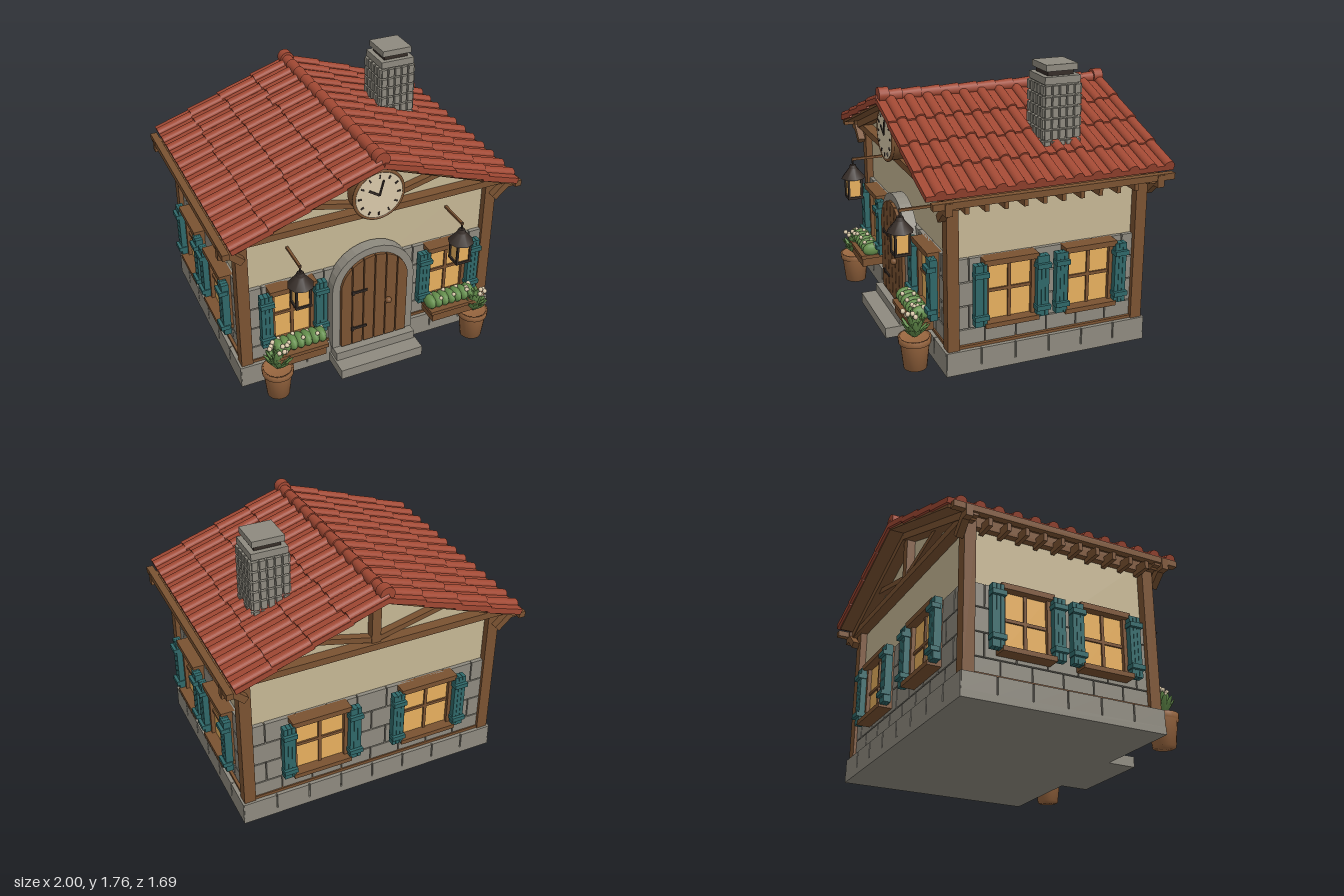
import * as THREE from 'three';
import { mergeGeometries } from 'three/addons/utils/BufferGeometryUtils.js';

const palette = {
  stone: 0x8e8a7f, plaster: 0xc6b794, wood: 0x7a5231, roofTile: 0xa04833, teal: 0x2f6869,
  glass: 0xe8b05e, darkMetal: 0x352c27, leaf: 0x648e4c, petal: 0xd8c8aa, terracotta: 0x98663f,
};
const M = {};
for (const [name, color] of Object.entries(palette)) {
  M[name] = new THREE.MeshStandardMaterial({ color });
  M[name].name = name;
}

function add(parent, name, geo, mat, x = 0, y = 0, z = 0) {
  const m = new THREE.Mesh(geo, mat);
  m.name = name;
  m.position.set(x, y, z);
  parent.add(m);
  return m;
}
// box given by its min and max corner
function box(parent, name, mat, x0, x1, y0, y1, z0, z1) {
  return add(parent, name, new THREE.BoxGeometry(x1 - x0, y1 - y0, z1 - z0), mat,
    (x0 + x1) / 2, (y0 + y1) / 2, (z0 + z1) / 2);
}
// beam between two points in the xy plane
function beam(parent, name, mat, x0, y0, x1, y1, thick, z0, z1) {
  const g = new THREE.BoxGeometry(Math.hypot(x1 - x0, y1 - y0), thick, z1 - z0);
  const m = add(parent, name, g, mat, (x0 + x1) / 2, (y0 + y1) / 2, (z0 + z1) / 2);
  m.rotation.z = Math.atan2(y1 - y0, x1 - x0);
  return m;
}
function group(parent, name, x = 0, y = 0, z = 0, ry = 0) {
  const g = new THREE.Group();
  g.name = name;
  g.position.set(x, y, z);
  g.rotation.y = ry;
  parent.add(g);
  return g;
}
function extrude(points, depth) {
  const s = new THREE.Shape(points.map(p => new THREE.Vector2(p[0], p[1])));
  return new THREE.ExtrudeGeometry(s, { depth, bevelEnabled: false });
}
let seed = 7;
const rand = () => (seed = (seed * 16807) % 2147483647) / 2147483647;

const CZ = -0.06, SLOPE = 0.372, ANGLE = Math.atan(SLOPE);

// courses of blocks on a wall that faces local +z; shift offsets every second course
function blocks(parent, name, half, courses, count, z0, z1, shift, gap) {
  const parts = [], step = 2 * half / count;
  courses.forEach(([y0, y1], r) => {
    for (let i = 0; i <= count; i++) {
      const start = -half + (i - (r % 2) * shift) * step;
      const a = Math.max(-half, start), b = Math.min(half, start + step);
      if (b - a < 0.02) continue;
      const g = new THREE.BoxGeometry(b - a - 2 * gap, y1 - y0 - 2 * gap, z1 - z0);
      parts.push(g.translate((a + b) / 2, (y0 + y1) / 2, (z0 + z1) / 2));
    }
  });
  add(parent, name, mergeGeometries(parts), M.stone);
}

// hw is half the width of the pane
function shutteredWindow(wall, x, hw) {
  const w = group(wall, 'window', x, 0, 0);
  box(w, 'windowPane', M.glass, -hw, hw, 0.32, 0.69, 0.02, 0.045);
  for (const s of [-1, 1]) {
    const jx = s * (hw + 0.012);
    box(w, 'windowJamb', M.wood, jx - 0.016, jx + 0.016, 0.31, 0.7, 0.01, 0.07);
    const sh = group(w, 'shutter', s * (hw + 0.058), 0, 0);
    for (const k of [-1, 0, 1])
      box(sh, 'shutterSlat', M.teal, k * 0.026 - 0.012, k * 0.026 + 0.012, 0.31, 0.7, 0.06, 0.108);
    for (const y of [0.37, 0.64]) box(sh, 'shutterBar', M.teal, -0.045, 0.045, y - 0.015, y + 0.015, 0.07, 0.128);
  }
  box(w, 'windowLintel', M.wood, -hw - 0.032, hw + 0.032, 0.685, 0.72, 0.01, 0.1);
  box(w, 'windowSill', M.wood, -hw - 0.032, hw + 0.032, 0.295, 0.325, 0.01, 0.115);
  box(w, 'verticalGlazingBar', M.wood, -0.01, 0.01, 0.32, 0.69, 0.04, 0.056);
  box(w, 'horizontalGlazingBar', M.wood, -hw, hw, 0.5, 0.52, 0.04, 0.056);
}

function flowerBox(parent, x) {
  const f = group(parent, 'flowerBox', x, 0, 0);
  box(f, 'planter', M.wood, -0.155, 0.155, 0.22, 0.29, 0.61, 0.76);
  box(f, 'planterRim', M.wood, -0.17, 0.17, 0.28, 0.305, 0.6, 0.77);
  for (let i = 0; i < 7; i++) {
    const px = -0.144 + i * 0.048;
    const b = add(f, 'bush', new THREE.SphereGeometry(0.036, 12, 8), M.leaf, px, 0.338, 0.69);
    b.scale.set(0.95, 1.3, 1.8);
    add(f, 'blossom', new THREE.SphereGeometry(0.014, 7, 6), M.petal, px + 0.012, 0.37 + rand() * 0.014, 0.69 + (i % 2 ? 0.04 : -0.02));
  }
}

function lantern(parent, x) {
  const l = group(parent, 'lantern', x, 0, 0.76);
  box(l, 'lanternGlass', M.glass, -0.042, 0.042, 0.69, 0.83, -0.042, 0.042);
  box(l, 'lanternBase', M.darkMetal, -0.052, 0.052, 0.68, 0.697, -0.052, 0.052);
  for (const a of [-1, 1]) for (const b of [-1, 1])
    box(l, 'lanternPost', M.darkMetal, a * 0.044 - 0.007, a * 0.044 + 0.007, 0.69, 0.83, b * 0.044 - 0.007, b * 0.044 + 0.007);
  add(l, 'lanternRoof', new THREE.CylinderGeometry(0.028, 0.084, 0.07, 8), M.darkMetal, 0, 0.86, 0);
  add(l, 'lanternCap', new THREE.CylinderGeometry(0.02, 0.03, 0.025, 8), M.darkMetal, 0, 0.905, 0);
  add(l, 'lanternLink', new THREE.CylinderGeometry(0.006, 0.006, 0.06, 6), M.darkMetal, 0, 0.935, 0);
  box(l, 'lanternArm', M.wood, -0.008, 0.008, 0.948, 0.964, -0.21, 0.005);
}

function pottedPlant(parent, x) {
  const p = group(parent, 'pottedPlant', x, 0, 0.735);
  const profile = [[0, 0], [0.072, 0], [0.09, 0.165], [0.1, 0.168], [0.102, 0.205], [0.088, 0.205], [0.085, 0.185], [0, 0.185]];
  add(p, 'pot', new THREE.LatheGeometry(profile.map(q => new THREE.Vector2(...q)), 20), M.terracotta);
  for (let i = 0; i < 34; i++) {
    const tilt = 0.12 + (i % 5) * 0.17, len = 0.17 - (i % 5) * 0.012 + rand() * 0.02;
    // leaf blade, widest below the middle
    const leaf = new THREE.SphereGeometry(0.5, 5, 5).scale(0.042, len, 0.014).translate(0, len / 2, 0);
    const m = add(p, 'leaf', leaf, M.leaf, 0, 0.195, 0);
    m.rotation.set(tilt, i * 2.4, 0, 'YXZ');
    if (i % 4 === 0) {
      const d = 0.035 + rand() * 0.04;
      add(p, 'blossom', new THREE.SphereGeometry(0.016, 7, 6), M.petal, Math.sin(i * 2.4) * d, 0.35 + rand() * 0.03, Math.cos(i * 2.4) * d);
    }
  }
}

function arch(r, y0, spring, segs = 14) {
  const pts = [[-r, y0], [r, y0]];
  for (let i = 0; i <= segs; i++) pts.push([r * Math.cos(Math.PI * i / segs), spring + r * Math.sin(Math.PI * i / segs)]);
  return pts;
}
function door(parent) {
  const d = group(parent, 'door', 0, 0, 0.56), spring = 0.575;
  const surround = new THREE.Shape(arch(0.285, 0.13, spring).map(p => new THREE.Vector2(...p)));
  surround.holes.push(new THREE.Path(arch(0.234, 0.14, spring).map(p => new THREE.Vector2(...p))));
  add(d, 'doorSurround', new THREE.ExtrudeGeometry(surround, { depth: 0.08, bevelEnabled: false }), M.stone);
  add(d, 'doorBacking', extrude(arch(0.236, 0.135, spring), 0.075), M.darkMetal);
  for (let i = 0; i < 6; i++) {
    const a = -0.234 + i * 0.078 + 0.004, b = a + 0.07, pts = [[a, 0.14], [b, 0.14]];
    for (let k = 0; k <= 5; k++) {
      const x = b + (a - b) * k / 5;
      pts.push([x, spring + Math.sqrt(0.2345 ** 2 - x * x)]);
    }
    add(d, 'doorPlank', extrude(pts, 0.1), M.wood);
  }
  for (const y of [0.27, 0.56]) {
    box(d, 'doorHinge', M.darkMetal, -0.16, -0.055, y - 0.008, y + 0.008, 0.1, 0.109);
    box(d, 'hingePlate', M.darkMetal, -0.163, -0.148, y - 0.016, y + 0.016, 0.1, 0.112);
  }
  add(d, 'doorHandle', new THREE.SphereGeometry(0.022, 12, 8), M.wood, 0.092, 0.435, 0.115);
  box(parent, 'lowerStep', M.stone, -0.29, 0.29, 0, 0.07, 0.59, 0.8);
  box(parent, 'upperStep', M.stone, -0.28, 0.28, 0, 0.13, 0.59, 0.7);
}

function clock(parent) {
  const c = group(parent, 'clock', 0, 1.265, 0.665);
  const disc = (name, r, h, mat, z) => { add(c, name, new THREE.CylinderGeometry(r, r, h, 36), mat, 0, 0, z).rotation.x = Math.PI / 2; };
  disc('clockCase', 0.165, 0.09, M.wood, -0.035);
  add(c, 'clockRim', new THREE.TorusGeometry(0.163, 0.011, 8, 36), M.wood, 0, 0, 0.01);
  disc('clockFace', 0.155, 0.008, M.petal, 0.014);
  for (let i = 0; i < 12; i++) {
    const a = i * Math.PI / 6;
    beam(c, 'hourMark', M.darkMetal, 0.118 * Math.cos(a), 0.118 * Math.sin(a), 0.14 * Math.cos(a), 0.14 * Math.sin(a), 0.01, 0.016, 0.023);
  }
  beam(c, 'hourHand', M.darkMetal, 0, 0, -0.068, 0.045, 0.014, 0.017, 0.024);
  beam(c, 'minuteHand', M.darkMetal, 0, 0, 0.025, 0.1, 0.01, 0.017, 0.026);
}

function roof(parent) {
  // pan-and-roll tile with a thick base that meets the deck
  const shape = new THREE.Shape();
  shape.moveTo(-0.061, -0.028).lineTo(0.061, -0.028).lineTo(0.061, 0.008);
  shape.absellipse(0.025, 0.008, 0.033, 0.027, 0, Math.PI, false).lineTo(-0.061, 0.008);
  const tile = new THREE.ExtrudeGeometry(shape, { depth: 0.268, bevelEnabled: false, curveSegments: 7 });
  tile.rotateY(Math.PI / 2).rotateZ(0.045);
  for (const ry of [0, Math.PI]) {
    const side = group(parent, 'roofSlope', 0, 1.5, CZ, ry), tilted = group(side, 'roofSheet');
    tilted.rotation.z = -ANGLE;
    box(tilted, 'roofDeck', M.wood, 0, 0.99, -0.036, -0.008, -0.772, 0.772);
    const tiles = [];
    for (let row = 0; row < 4; row++) for (let col = 0; col < 13; col++)
      tiles.push(tile.clone().translate(row * 0.248 + (row < 3 ? (rand() - 0.5) * 0.03 : 0), 0, (col - 6) * 0.1215));
    add(tilted, 'roofTiles', mergeGeometries(tiles), M.roofTile);
  }
  // overlapping ridge caps with larger end caps
  for (let i = 0; i < 12; i++) {
    const r = add(parent, 'ridgeCap', new THREE.CylinderGeometry(0.033, 0.042, 0.13, 14), M.roofTile, 0, 1.517, CZ - 0.69 + i * 0.1255);
    r.rotation.x = Math.PI / 2;
  }
  for (const s of [-1, 1])
    add(parent, 'ridgeEnd', new THREE.CylinderGeometry(0.048, 0.048, 0.065, 16), M.roofTile, 0, 1.525, CZ + s * 0.745).rotation.x = Math.PI / 2;
}

function chimney(parent) {
  const c = group(parent, 'chimney', 0.522, 0, -0.243);
  box(c, 'chimneyCore', M.stone, -0.108, 0.108, 1.2, 1.66, -0.108, 0.108);
  const courses = Array.from({ length: 6 }, (_, i) => [1.24 + i * 0.068, 1.308 + i * 0.068]);
  for (let k = 0; k < 4; k++)
    blocks(group(c, 'chimneyFace', 0, 0, 0, k * Math.PI / 2), 'chimneyBricks', 0.122, courses, 5, 0.1, 0.128, 0, 0.006);
  box(c, 'chimneyCollar', M.stone, -0.117, 0.117, 1.65, 1.695, -0.117, 0.117);
  box(c, 'chimneyNeck', M.darkMetal, -0.085, 0.085, 1.69, 1.725, -0.085, 0.085);
  box(c, 'chimneySlab', M.stone, -0.103, 0.103, 1.725, 1.765, -0.103, 0.103);
}

// timber truss on a gable that faces local +z
function truss(wall) {
  box(wall, 'tieBeam', M.wood, -0.98, 0.98, 1.075, 1.12, 0, 0.07);
  box(wall, 'kingPost', M.wood, -0.03, 0.03, 1.1, 1.44, 0, 0.055);
  for (const s of [-1, 1]) {
    beam(wall, 'gableRafter', M.wood, 0, 1.44, s * 0.95, 1.44 - 0.95 * SLOPE, 0.052, 0, 0.075);
    beam(wall, 'strut', M.wood, 0, 1.135, s * 0.52, 1.262, 0.036, 0, 0.05);
    beam(wall, 'cornerBracket', M.wood, s * 0.85, 0.99, s * 0.96, 1.09, 0.045, 0.045, 0.09);
    box(wall, 'eaveBeamEnd', M.wood, s * 0.965 - 0.035, s * 0.965 + 0.035, 1.05, 1.125, 0.045, 0.09);
  }
}

export function createModel() {
  const house = new THREE.Group();
  house.name = 'cottage';

  // foundation and walls
  box(house, 'foundation', M.stone, -0.888, 0.888, 0, 0.15, -0.713, 0.593);
  box(house, 'foundationPlinth', M.stone, -0.9, 0.9, 0, 0.045, -0.725, 0.605);
  box(house, 'foundationTrim', M.wood, -0.875, 0.875, 0.15, 0.17, -0.7, 0.58);
  const outline = [[-0.83, 0.1], [0.83, 0.1], [0.83, 1.15], [0, 1.459], [-0.83, 1.15]];
  add(house, 'plasterWalls', extrude(outline, 1.21), M.plaster, 0, 0, -0.665);

  // four wall faces: position, half widths, block count, window places and pane half width
  const courses = [[0.16, 0.27], [0.27, 0.42], [0.42, 0.572], [0.572, 0.724]];
  const walls = [
    ['frontWall', 0, 0.545, 0, 0.83, 0.9, 8, 0.543, 0.122],
    ['backWall', 0, -0.665, Math.PI, 0.83, 0.9, 8, 0.375, 0.165],
    ['leftWall', 0.83, CZ, Math.PI / 2, 0.605, 0.665, 6, 0.26, 0.14],
    ['rightWall', -0.83, CZ, -Math.PI / 2, 0.605, 0.665, 6, 0.26, 0.14],
  ];
  for (const [name, x, z, ry, half, baseHalf, count, wx, hw] of walls) {
    const wall = group(house, name, x, 0, z, ry);
    blocks(wall, 'stoneBlocks', half, courses, count, -0.01, 0.026, 0.5, 0.004);
    blocks(wall, 'foundationBlocks', baseHalf, [[0.04, 0.157]], count, 0.04, x ? 0.07 : 0.06, 0, 0.005);
    for (const s of [-1, 1]) shutteredWindow(wall, s * wx, hw);
    if (!x) truss(wall);
  }

  // corner posts, eaves and rafter tails
  for (const s of [-1, 1]) {
    for (const z of [0.553, -0.673])
      box(house, 'cornerPost', M.wood, s * 0.848 - 0.038, s * 0.848 + 0.038, 0.12, 1.1, z - 0.037, z + 0.037);
    box(house, 'eaveBoard', M.wood, s * 0.973 - 0.022, s * 0.973 + 0.022, 1.09, 1.13, -0.83, 0.705);
    box(house, 'wallPlate', M.wood, s * 0.845 - 0.03, s * 0.845 + 0.03, 1.07, 1.14, -0.7, 0.58);
    for (let i = 0; i < 10; i++)
      box(house, 'rafterTail', M.wood, s * 0.905 - 0.065, s * 0.905 + 0.065, 1.04, 1.1, 0.482 - i * 0.12, 0.508 - i * 0.12);
  }

  roof(house);
  chimney(house);
  door(house);
  clock(house);
  for (const s of [-1, 1]) {
    flowerBox(house, s * 0.535);
    lantern(house, s * 0.545);
    pottedPlant(house, s * 0.7);
  }
  return house;
}
